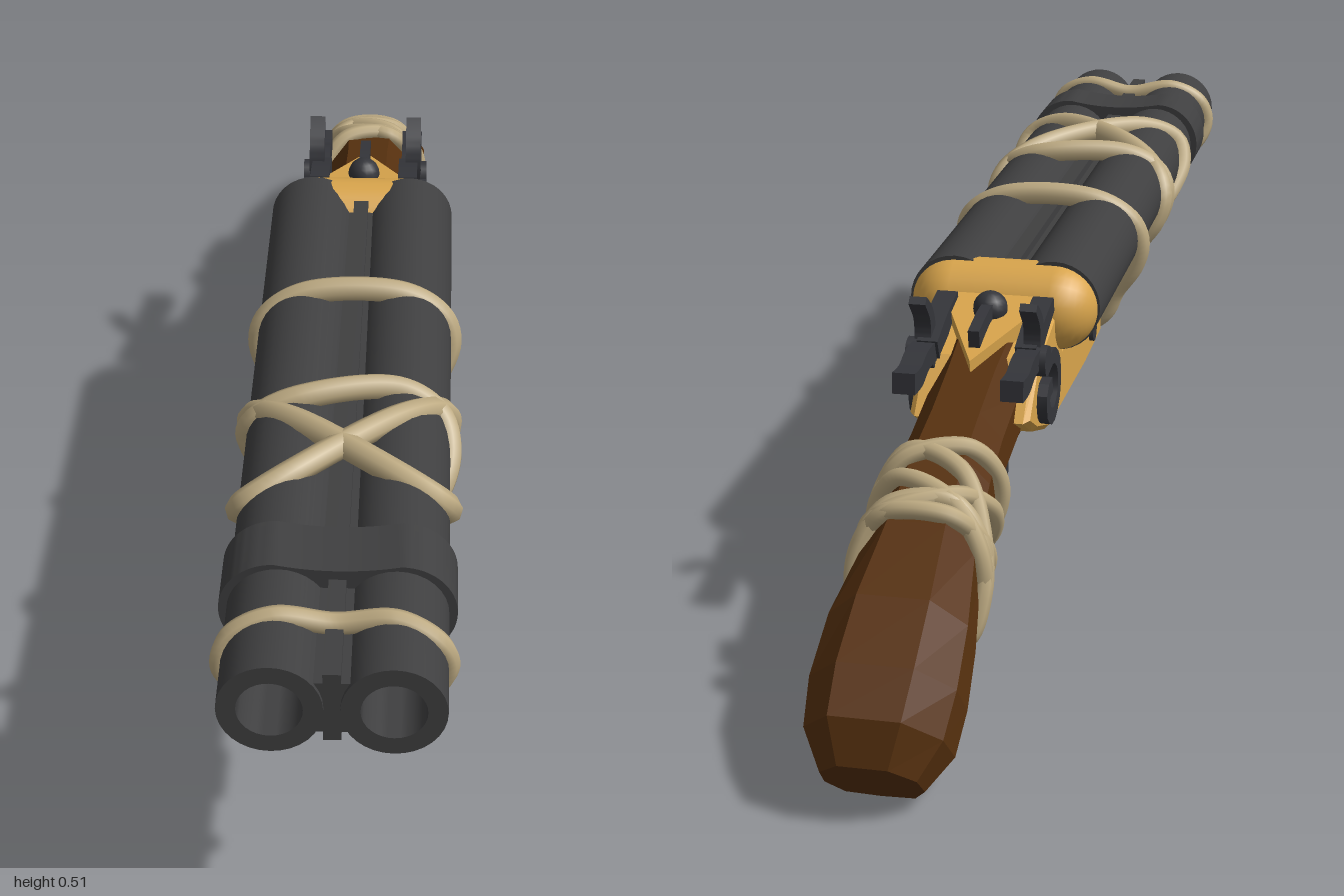
import * as THREE from 'three';
import { toCreasedNormals } from 'three/addons/utils/BufferGeometryUtils.js';

const lerp = THREE.MathUtils.lerp;
const paint = (name, color) => Object.assign(new THREE.MeshStandardMaterial({ color }), { name });

// Section: [top z, top y, bottom z, bottom y, half width]; outline point: [u across, v up]
const sectionPoint = ([zT, yT, zB, yB, w], [u, v], grow = 1) => {
  const k = (v - 0.5) * grow + 0.5;
  return new THREE.Vector3(u * w * grow, lerp(yB, yT, k), lerp(zB, zT, k));
};

// Faceted solid through sections ordered from front to back, outline counter-clockwise from the front
function loft(sections, outline) {
  const rings = sections.map(s => outline.map(p => sectionPoint(s, p)));
  const n = outline.length, pos = [];
  const tri = (...pts) => pts.forEach(p => pos.push(p.x, p.y, p.z));
  for (let s = 0; s < rings.length - 1; s++) {
    for (let i = 0; i < n; i++) {
      const j = (i + 1) % n, a = rings[s], b = rings[s + 1];
      tri(a[i], b[i], a[j]);
      tri(a[j], b[i], b[j]);
    }
  }
  const first = rings[0], last = rings[rings.length - 1];
  for (let i = 1; i < n - 1; i++) {
    tri(first[0], first[i], first[i + 1]);
    tri(last[0], last[i + 1], last[i]);
  }
  const g = new THREE.BufferGeometry();
  g.setAttribute('position', new THREE.Float32BufferAttribute(pos, 3));
  g.computeVertexNormals();
  return g;
}

// Side silhouette in (z, y), given thickness along x
function sideExtrude(points, width, bevel = 0) {
  const shape = new THREE.Shape(points.map(p => new THREE.Vector2(p[0], p[1])));
  const depth = width - 2 * bevel;
  const g = new THREE.ExtrudeGeometry(shape, {
    depth, bevelEnabled: bevel > 0, bevelSize: bevel, bevelOffset: -bevel, bevelThickness: bevel, bevelSegments: 1,
  });
  return g.translate(0, 0, -depth / 2).rotateY(-Math.PI / 2);
}

// Curved bar in the (z, y) plane, tapering from half thickness t0 to t1
function bar(path, t0, t1, width) {
  const curve = new THREE.SplineCurve(path.map(p => new THREE.Vector2(...p)));
  const left = [], right = [], n = 18;
  for (let i = 0; i <= n; i++) {
    const p = curve.getPoint(i / n), d = curve.getTangent(i / n), t = lerp(t0, t1, i / n);
    left.push([p.x - d.y * t, p.y + d.x * t]);
    right.unshift([p.x + d.y * t, p.y - d.x * t]);
  }
  return toCreasedNormals(sideExtrude([...left, ...right], width), 0.6);
}

const ropeTube = (pts, r) =>
  new THREE.TubeGeometry(new THREE.CatmullRomCurve3(pts, true, 'centripetal'), 90, r, 8, true);

export function createModel() {
  const model = new THREE.Group();
  model.name = 'shotgun';
  const gunmetal = paint('gunmetal', 0x3f3f40);
  const steel = paint('dark steel', 0x34353a);
  const brass = paint('brass', 0xd9a54c);
  const wood = paint('walnut', 0x57310f);
  const rope = paint('rope', 0xbdaa82);
  const red = paint('shell red', 0xdc2424);
  const add = (name, geometry, material, parent = model) => {
    const m = new THREE.Mesh(geometry, material);
    m.name = name;
    parent.add(m);
    return m;
  };

  // Barrels: hollow tubes, tipped up slightly towards the muzzle
  const barrels = new THREE.Group();
  barrels.name = 'barrels';
  barrels.position.set(0, 0.414, -0.19);
  barrels.rotation.x = -0.009;
  model.add(barrels);
  const tubeProfile = [[0.04, 0], [0.067, 0], [0.064, 1.188], [0.04, 1.188], [0.04, 0]].map(p => new THREE.Vector2(...p));
  for (const s of [-1, 1]) {
    const tube = toCreasedNormals(new THREE.LatheGeometry(tubeProfile, 32).rotateX(Math.PI / 2), 0.6);
    add('barrel', tube, gunmetal, barrels).position.x = s * 0.074;
    add('shell', new THREE.ConeGeometry(0.039, 0.012, 16).rotateX(Math.PI / 2), red, barrels).position.set(s * 0.074, 0, 0.08);
  }
  add('barrelWeb', new THREE.BoxGeometry(0.056, 0.074, 1.18), gunmetal, barrels).position.z = 0.592;
  add('sightRib', new THREE.BoxGeometry(0.022, 0.1, 1.18), gunmetal, barrels).position.z = 0.592;

  // Clamp band around both barrels
  const clamp = new THREE.Shape();
  clamp.absarc(0.079, 0.424, 0.07, -Math.PI / 2, Math.PI / 2, false);
  clamp.quadraticCurveTo(0, 0.478, -0.079, 0.494);
  clamp.absarc(-0.079, 0.424, 0.07, Math.PI / 2, Math.PI * 1.5, false);
  clamp.quadraticCurveTo(0, 0.37, 0.079, 0.354);
  const clampGeo = new THREE.ExtrudeGeometry(clamp, { depth: 0.09, bevelEnabled: false, curveSegments: 16 });
  add('clampBand', toCreasedNormals(clampGeo.translate(0, 0, 0.72), 0.6), gunmetal);

  // Wooden fore-end under the barrels
  add('foreEnd', loft([
    [0.745, 0.385, 0.755, 0.325, 0.066],
    [0.5, 0.385, 0.5, 0.299, 0.078],
    [0.12, 0.38, 0.12, 0.265, 0.084],
  ], [[0.88, 0], [1, 0.4], [0.95, 0.65], [0, 1], [-0.95, 0.65], [-1, 0.4], [-0.88, 0]]), wood);

  // Brass receiver, rounded breech and pointed tang
  add('receiver', sideExtrude([
    [0.135, 0.352], [0.135, 0.266], [0, 0.257], [-0.28, 0.257], [-0.37, 0.287],
    [-0.428, 0.32], [-0.36, 0.39], [-0.24, 0.42], [-0.18, 0.4], [-0.18, 0.352],
  ], 0.17, 0.008), brass);
  add('breech', new THREE.CapsuleGeometry(0.064, 0.148, 10, 24).rotateZ(Math.PI / 2), brass).position.set(0, 0.412, -0.182);
  const tang = new THREE.Shape([[-0.062, 0], [0.062, 0], [0.055, 0.09], [0, 0.215], [-0.055, 0.09]].map(p => new THREE.Vector2(...p)));
  const tangMesh = add('tang', new THREE.ExtrudeGeometry(tang, { depth: 0.03, bevelEnabled: false }).rotateX(-Math.PI / 2), brass);
  tangMesh.position.set(0, 0.42, -0.2);
  tangMesh.rotation.x = -0.22;

  // Faceted pistol-grip stock
  const stock = [
    [-0.22, 0.43, -0.22, 0.27, 0.074],
    [-0.30, 0.413, -0.28, 0.26, 0.072],
    [-0.40, 0.388, -0.38, 0.25, 0.066],
    [-0.50, 0.36, -0.48, 0.232, 0.066],
    [-0.60, 0.335, -0.57, 0.205, 0.07],
    [-0.72, 0.29, -0.68, 0.15, 0.077],
    [-0.84, 0.24, -0.77, 0.105, 0.094],
    [-0.93, 0.19, -0.82, 0.055, 0.098],
    [-0.985, 0.145, -0.855, 0.012, 0.092],
    [-0.998, 0.085, -0.915, 0.002, 0.064],
  ];
  const stockOutline = [[0, 0], [0.7, 0.04], [1, 0.35], [0.96, 0.7], [0.5, 1], [-0.5, 1], [-0.96, 0.7], [-1, 0.35], [-0.7, 0.04]];
  add('stock', loft(stock, stockOutline), wood);

  // Trigger guard and the two triggers
  add('triggerGuard', bar([[-0.275, 0.262], [-0.265, 0.2], [-0.29, 0.145], [-0.36, 0.116], [-0.43, 0.119],
    [-0.485, 0.15], [-0.51, 0.195], [-0.55, 0.22]], 0.008, 0.008, 0.04), steel);
  for (const z of [-0.37, -0.435]) {
    add('trigger', bar([[z, 0.26], [z - 0.004, 0.215], [z - 0.018, 0.175], [z - 0.04, 0.145]], 0.011, 0.005, 0.018), steel);
  }

  // Hammers, scrolls and hinge pins on both sides
  for (const s of [-1, 1]) {
    const lock = new THREE.Group();
    lock.name = s > 0 ? 'leftLock' : 'rightLock';
    model.add(lock);
    const put = (name, g, x) => { add(name, g, steel, lock).position.x = s * x; };
    put('hammerNose', bar([[-0.25, 0.437], [-0.31, 0.42], [-0.37, 0.395]], 0.011, 0.02, 0.03), 0.07);
    put('hammerSpur', bar([[-0.36, 0.39], [-0.355, 0.42], [-0.365, 0.45], [-0.395, 0.478]], 0.018, 0.006, 0.024), 0.078);
    put('hammerTail', bar([[-0.35, 0.395], [-0.41, 0.398], [-0.45, 0.388], [-0.49, 0.39]], 0.014, 0.015, 0.032), 0.075);
    put('hammerPivot', new THREE.CylinderGeometry(0.022, 0.022, 0.04, 14).rotateZ(Math.PI / 2).translate(0, 0.392, -0.365), 0.08);
    put('lockScroll', bar([[-0.365, 0.38], [-0.32, 0.385], [-0.285, 0.36], [-0.285, 0.318], [-0.32, 0.296],
      [-0.355, 0.312], [-0.357, 0.34], [-0.33, 0.345]], 0.011, 0.012, 0.025), 0.087);
    put('hingePin', new THREE.CylinderGeometry(0.016, 0.016, 0.016, 12).rotateZ(Math.PI / 2).translate(0, 0.3, 0.04), 0.084);
  }

  // Top opening lever
  add('leverKnob', new THREE.SphereGeometry(0.025, 14, 10), steel).position.set(0, 0.437, -0.285);
  add('leverArm', bar([[-0.28, 0.438], [-0.33, 0.437], [-0.39, 0.425]], 0.009, 0.013, 0.016), steel);

  // Rope wraps around barrels and fore-end; z given at top and bottom corners [TL, TR, BR, BL], left meaning -x
  const wrap = [[-0.07, 1], [0.07, 1], [0.125, 0.84], [0.138, 0.66], [0.128, 0.46], [0.098, 0.24],
    [0.07, 0], [-0.07, 0], [-0.098, 0.24], [-0.128, 0.46], [-0.138, 0.66], [-0.125, 0.84]];
  const wraps = [
    [0.152, 0.145, 0.18, 0.185],
    [0.67, 0.40, 0.36, 0.48],
    [0.42, 0.66, 0.47, 0.35],
    [0.44, 0.385, 0.58, 0.39],
  ];
  for (const [tl, tr, br, bl] of wraps) {
    const pts = wrap.map(([x, v]) => {
      const f = (x + 0.138) / 0.276;
      const z = lerp(lerp(bl, br, f), lerp(tl, tr, f), v);
      return new THREE.Vector3(x, lerp(0.26 + z * 0.085, 0.477 + z * 0.01, v), z);
    });
    add('barrelRope', ropeTube(pts, 0.018), rope);
  }

  // Rope around the muzzle
  const muzzle = [[0, 0.472, 0.893], [0.075, 0.484, 0.9], [0.125, 0.46, 0.91], [0.138, 0.42, 0.905], [0.12, 0.381, 0.9],
    [0.075, 0.364, 0.91], [0, 0.372, 0.9], [-0.075, 0.364, 0.895], [-0.12, 0.381, 0.9], [-0.138, 0.42, 0.91],
    [-0.125, 0.46, 0.905], [-0.075, 0.484, 0.898]];
  add('muzzleRope', ropeTube(muzzle.map(p => new THREE.Vector3(...p)), 0.014), rope);

  // Rope around the grip: section position at top and bottom, and sideways skew
  const grip = [[3.95, 3.95, 0.25], [4.1, 5.35, -0.25], [4.75, 4.25, 0.3], [4.75, 5.35, 0.1], [4.55, 4.9, -0.3], [4.9, 4.6, 0]];
  for (const [top, bottom, skew] of grip) {
    const pts = stockOutline.map(([u, v]) => {
      const s = lerp(bottom, top, v) + u * skew, i = Math.floor(s);
      const section = stock[i].map((a, k) => lerp(a, stock[i + 1][k], s - i));
      return sectionPoint(section, [u, v], 1.05);
    });
    add('gripRope', ropeTube(pts, 0.013), rope);
  }
  return model;
}
